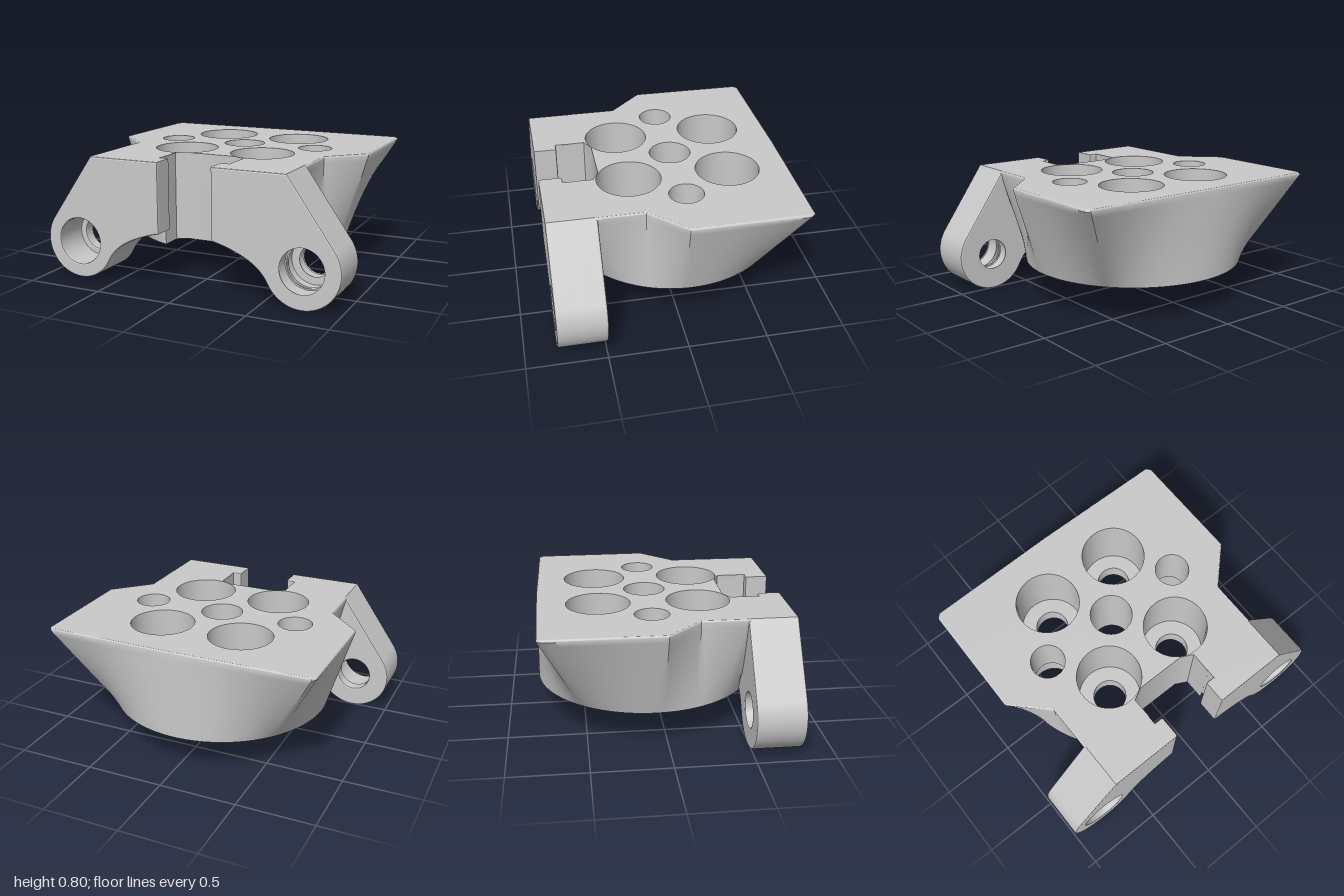
import * as THREE from 'three';
import { toCreasedNormals } from 'three/addons/utils/BufferGeometryUtils.js';

const TOP = 0.8, RIM = 0.785, BASE = 0.23;
const CZ = -0.08, R = 0.72; // centre and radius of the round base

// Holes: position, profile of [radius, y] from top to bottom
const HOLES = [
  { x: 0, z: CZ, profile: [[0.135, TOP], [0.135, 0.27], [0.155, 0.25], [0.155, BASE]] },
];
for (const s of [-1, 1]) {
  HOLES.push({ x: 0.51 * s, z: CZ, profile: [[0.11, TOP], [0.11, 0.45], [0.145, 0.45], [0.145, BASE]] });
  for (const z of [-0.4, 0.24]) {
    HOLES.push({
      x: 0.27 * s, z,
      profile: [[0.205, TOP], [0.205, 0.38], [0.108, 0.38], [0.108, 0.27], [0.13, 0.25], [0.13, BASE]],
    });
  }
}

// Matching levels from the round base up to the angular outline, then over a rounded rim
function bodyLevels() {
  const corners = [[0.24, 0.6], [0.64, 0.6], [0.67, 0.5], [0.67, 0.2], [0.89, -0.02],
    [0.885, -0.755], [0.862, -0.782], [0, -0.792]];
  const half = [];
  for (let i = 0; i < corners.length - 1; i++) {
    const [ax, az] = corners[i], [bx, bz] = corners[i + 1];
    const n = Math.max(2, Math.ceil(Math.hypot(bx - ax, bz - az) / 0.03));
    for (let k = 0; k < n; k++) half.push([ax + (bx - ax) * k / n, az + (bz - az) * k / n]);
  }
  const upper = [...half, [0, -0.792], ...half.slice().reverse().map(([x, z]) => [-x, z])];
  const base = upper.map(([x, z]) => {
    const l = R / Math.hypot(x, z - CZ);
    return [x * l, CZ + (z - CZ) * l];
  });
  // Front notch, common to all levels
  const notch = [[-0.24, 0.46], [-0.16, 0.42], [0.16, 0.42], [0.24, 0.46]];
  const levels = [];
  const steps = 16, rimSteps = 5;
  for (let k = 0; k <= steps; k++) {
    const t = k / steps;
    const ring = base.map(([x, z], i) => [x + (upper[i][0] - x) * t, z + (upper[i][1] - z) * t]);
    levels.push({ y: BASE + (RIM - BASE) * t, ring: [...ring, ...notch] });
  }
  for (let k = 1; k <= rimSteps; k++) {
    const a = k / rimSteps * Math.PI / 2;
    const s = 1 - 0.013 * (1 - Math.cos(a));
    const ring = upper.map(([x, z]) => [x * s, CZ + (z - CZ) * s]);
    levels.push({ y: RIM + (TOP - RIM) * Math.sin(a), ring: [...ring, ...notch] });
  }
  return levels;
}

// Wall joining the levels
function wallGeometry(levels) {
  const pos = [];
  const n = levels[0].ring.length;
  const p = (l, k) => [levels[l].ring[k][0], levels[l].y, levels[l].ring[k][1]];
  for (let l = 0; l < levels.length - 1; l++) {
    for (let i = 0; i < n; i++) {
      const j = (i + 1) % n;
      const a = p(l, i), b = p(l, j), c = p(l + 1, j), d = p(l + 1, i);
      pos.push(...a, ...b, ...c, ...a, ...c, ...d);
    }
  }
  const g = new THREE.BufferGeometry();
  g.setAttribute('position', new THREE.Float32BufferAttribute(pos, 3));
  return toCreasedNormals(g, 0.6);
}

// Flat face pierced by the holes; dir is 1 for upward, -1 for downward
function capGeometry({ ring, y }, dir) {
  const shape = new THREE.Shape(ring.map(([x, z]) => new THREE.Vector2(x, -dir * z)));
  for (const h of HOLES) {
    const r = (dir > 0 ? h.profile[0] : h.profile[h.profile.length - 1])[0];
    shape.holes.push(new THREE.Path().absarc(h.x, -dir * h.z, r, 0, Math.PI * 2, true));
  }
  return new THREE.ShapeGeometry(shape, 24).rotateX(-dir * Math.PI / 2).translate(0, y, 0);
}

// Leg layer: sloped outer side, round eye and arched underside
function legGeometry(side, innerX, holeR, z0, z1) {
  const outline = new THREE.Shape();
  outline.moveTo(innerX, TOP);
  outline.lineTo(0.66, TOP);
  outline.absarc(0.76, 0.24, 0.24, 35.1 * Math.PI / 180, -153 * Math.PI / 180, true);
  outline.bezierCurveTo(0.5, 0.22, 0.42, 0.28, 0.24, 0.335);
  if (innerX < 0.24) outline.lineTo(innerX, 0.35);
  const pts = outline.getPoints(28).map((p) => new THREE.Vector2(p.x * side, p.y));
  const shape = new THREE.Shape(pts);
  shape.holes.push(new THREE.Path().absarc(0.76 * side, 0.24, holeR, 0, Math.PI * 2, true));
  const b = 0.01;
  const g = new THREE.ExtrudeGeometry(shape, {
    depth: z1 - z0 - 2 * b, bevelEnabled: true, bevelThickness: b, bevelSize: b,
    bevelOffset: -b, bevelSegments: 2, curveSegments: 28,
  });
  return toCreasedNormals(g.translate(0, 0, z0 + b), 0.35);
}

export function createModel() {
  const grey = new THREE.MeshStandardMaterial({ color: 0xc9c9c9, side: THREE.DoubleSide });
  grey.name = 'grey';
  const model = new THREE.Group();
  model.name = 'mountingBracket';
  const add = (name, geometry, parent = model) => {
    const mesh = new THREE.Mesh(geometry, grey);
    mesh.name = name;
    parent.add(mesh);
    return mesh;
  };

  // Body blending from a round base to an angular top
  const levels = bodyLevels();
  add('bodyWall', wallGeometry(levels));
  add('bodyTop', capGeometry(levels[levels.length - 1], 1));
  add('bodyBase', capGeometry(levels[0], -1));

  // Stepped bores
  for (const h of HOLES) {
    const pts = h.profile.map(([r, y]) => new THREE.Vector2(r, y));
    const bore = add('bore', toCreasedNormals(new THREE.LatheGeometry(pts, 48), 0.5));
    bore.position.set(h.x, 0, h.z);
  }

  // Legs: a narrow eye at the back, a wide one in front, and a lip reaching into the notch
  for (const side of [1, -1]) {
    const leg = new THREE.Group();
    leg.name = side > 0 ? 'leftLeg' : 'rightLeg';
    add('legBack', legGeometry(side, 0.24, 0.11, 0.49, 0.57), leg);
    add('legMiddle', legGeometry(side, 0.24, 0.15, 0.54, 0.68), leg);
    add('legFront', legGeometry(side, 0.18, 0.15, 0.65, 0.8), leg);
    model.add(leg);
  }
  return model;
}
